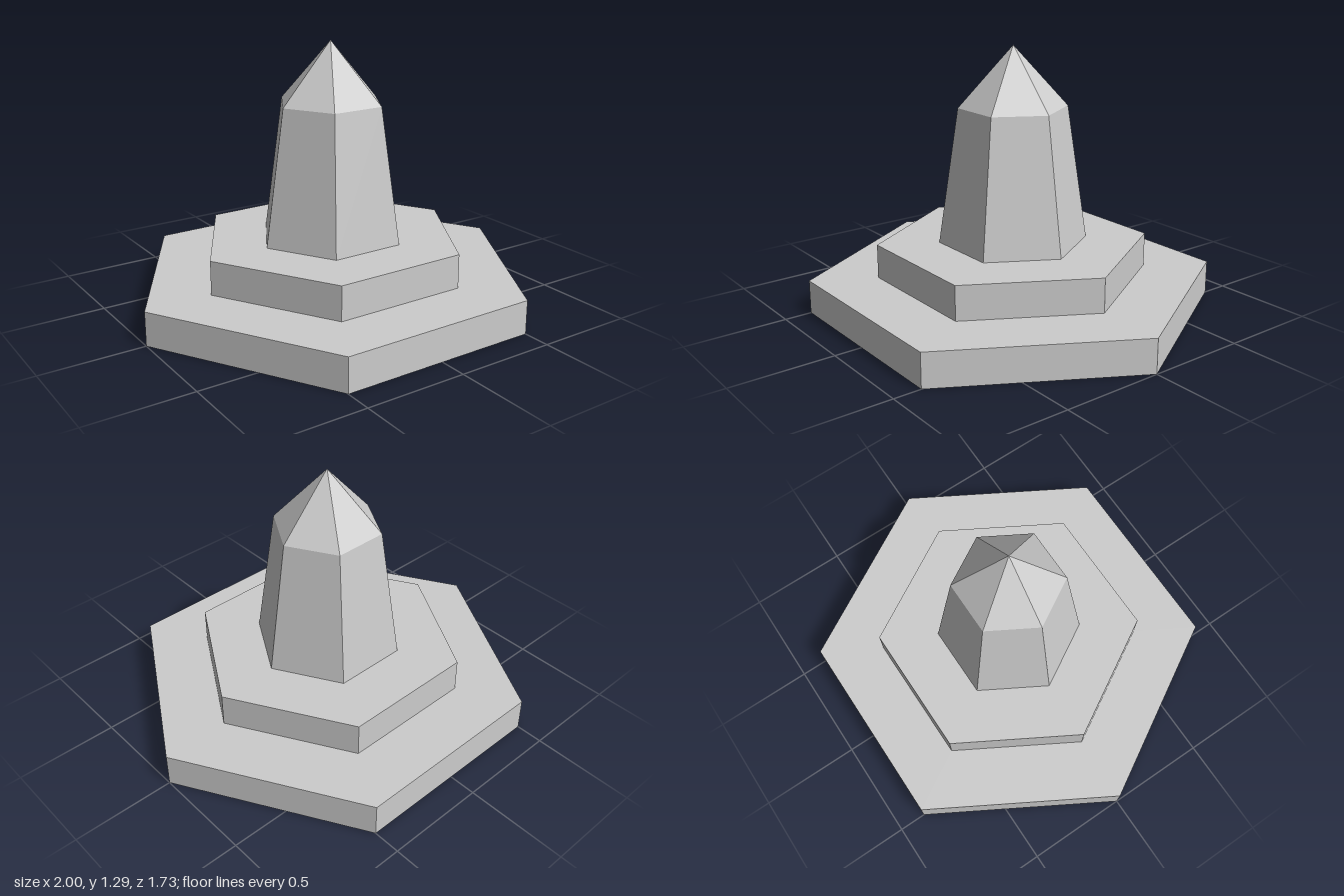
import * as THREE from 'three';

export function createModel() {
  const model = new THREE.Group();
  model.name = 'monument';

  const stone = new THREE.MeshStandardMaterial({ color: 0xcccccc, flatShading: true });
  stone.name = 'pale grey stone';

  // Six-sided tier with corners on the x axis, standing between two heights
  function addTier(name, bottomRadius, topRadius, y0, y1) {
    const geometry = new THREE.CylinderGeometry(
      topRadius, bottomRadius, y1 - y0, 6, 1, false, Math.PI / 2);
    const mesh = new THREE.Mesh(geometry, stone);
    mesh.name = name;
    mesh.position.y = (y0 + y1) / 2;
    model.add(mesh);
  }

  // Stepped plinth
  addTier('lowerStep', 1, 1, 0, 0.167);
  addTier('upperStep', 0.667, 0.667, 0.167, 0.335);

  // Tapered shaft and its pointed cap
  addTier('shaft', 0.365, 0.265, 0.335, 1);
  addTier('pointedCap', 0.265, 0, 1, 1.295);

  return model;
}
